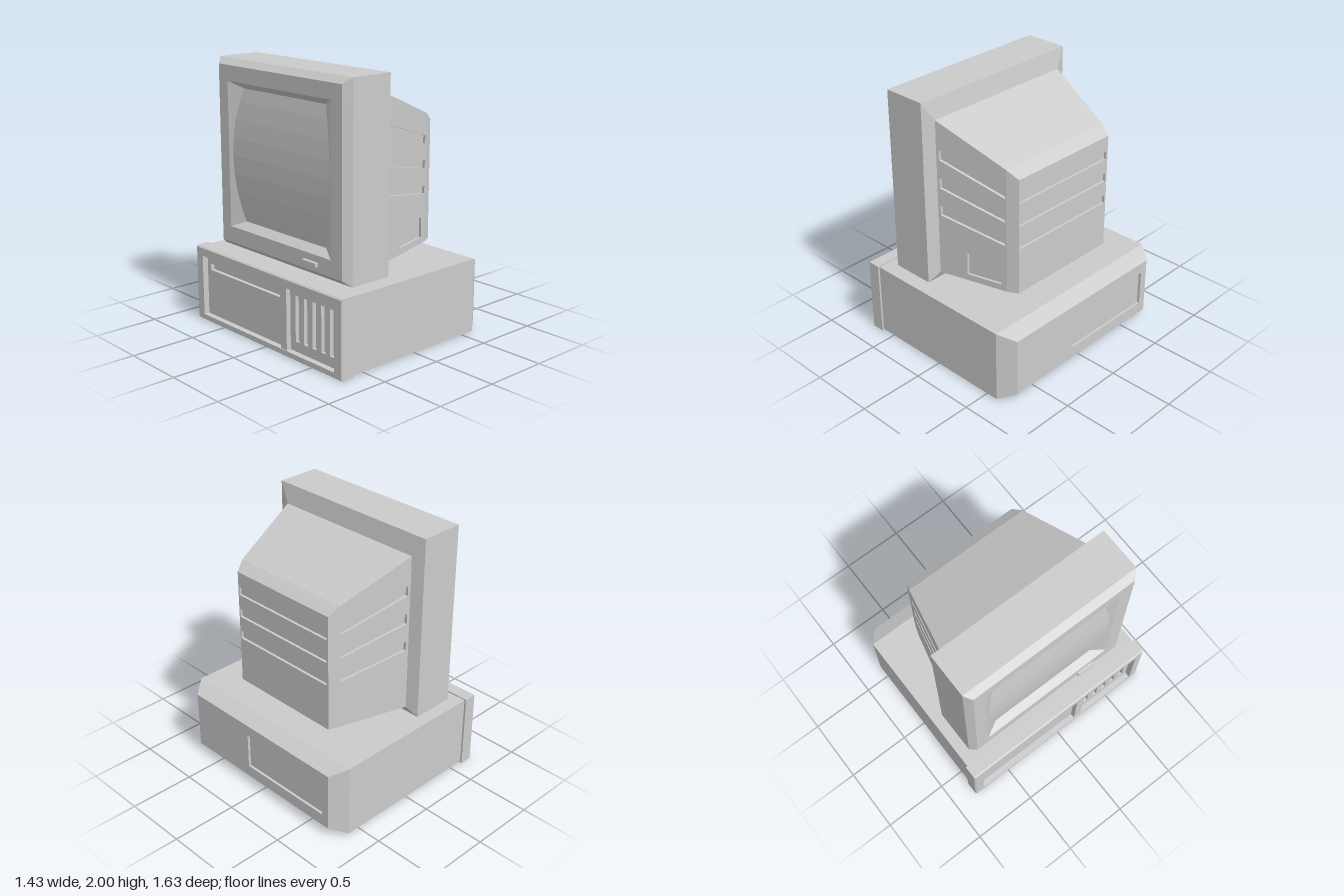
import * as THREE from 'three';

const material = new THREE.MeshStandardMaterial({ color: 0xcccccc, flatShading: true });

function meshFrom(name, triangles) {
  const geometry = new THREE.BufferGeometry().setFromPoints(triangles);
  geometry.computeVertexNormals();
  const mesh = new THREE.Mesh(geometry, material);
  mesh.name = name;
  return mesh;
}

const quad = (out, a, b, c, d) => out.push(a, b, c, a, c, d);

// Counter-clockwise rectangle in a panel's own plane
const rect = (u0, u1, v0, v1) => [[u0, v0], [u1, v0], [u1, v1], [u0, v1]];

// Skin over rectangular sections [x, y0, y1, z0, z1]; sides: 0 bottom, 1 +z, 2 top, 3 -z
function loft(name, sections, { sides = [0, 1, 2, 3], startCap = false, endCap = false } = {}) {
  const rings = sections.map(([x, y0, y1, z0, z1]) =>
    [[y0, z0], [y0, z1], [y1, z1], [y1, z0]].map(([y, z]) => new THREE.Vector3(x, y, z)));
  const out = [];
  for (let s = 0; s < rings.length - 1; s++) {
    const p = rings[s], q = rings[s + 1];
    for (const i of sides) {
      const j = (i + 1) % 4;
      quad(out, p[i], q[i], q[j], p[j]);
    }
  }
  if (startCap) quad(out, ...rings[0]);
  if (endCap) quad(out, ...[...rings[rings.length - 1]].reverse());
  return meshFrom(name, out);
}

// Flat panel with sunken pockets; map(u, v, d) places a point, d pointing outward
function panel(name, outline, holes, map, depth = 0.02, floor = true) {
  const points = (list) => list.map(([u, v]) => new THREE.Vector2(u, v));
  const shape = new THREE.Shape(points(outline));
  shape.holes = holes.map((h) => new THREE.Path(points(h)));
  const flat = new THREE.ShapeGeometry(shape).toNonIndexed().attributes.position;
  const at = (u, v, d) => new THREE.Vector3(...map(u, v, d));
  const out = [];
  for (let i = 0; i < flat.count; i++) out.push(at(flat.getX(i), flat.getY(i), 0));
  if (depth > 0) for (const h of holes) {
    const top = h.map(([u, v]) => at(u, v, 0)), low = h.map(([u, v]) => at(u, v, -depth));
    for (let i = 0; i < 4; i++) {
      const j = (i + 1) % 4;
      quad(out, top[i], top[j], low[j], low[i]);
    }
    if (floor) quad(out, ...low);
  }
  // Reverse the corners where the mapping mirrors the plane
  const o = at(0, 0, 0);
  const [eu, ev, ed] = [at(1, 0, 0), at(0, 1, 0), at(0, 0, 1)].map((p) => p.sub(o));
  if (eu.cross(ev).dot(ed) < 0) out.reverse();
  return meshFrom(name, out);
}

function box(name, x0, x1, y0, y1, z0, z1) {
  const mesh = new THREE.Mesh(new THREE.BoxGeometry(x1 - x0, y1 - y0, z1 - z0), material);
  mesh.position.set((x0 + x1) / 2, (y0 + y1) / 2, (z0 + z1) / 2);
  mesh.name = name;
  return mesh;
}

// Planes facing -x and +x, drawn in (z, y)
const facingMinusX = (x) => (z, y, d) => [x - d, y, z];
const facingPlusX = (x) => (z, y, d) => [x + d, y, z];

function createCase() {
  const group = new THREE.Group();
  group.name = 'computerCase';

  group.add(loft('caseBody', [
    [-0.62, 0.01, 0.57, -0.805, 0.8],
    [0.60, 0.01, 0.57, -0.805, 0.8],
    [0.715, 0.065, 0.515, -0.715, 0.71],
  ], { startCap: true }));
  group.add(panel('caseRear', rect(-0.715, 0.71, 0.065, 0.515),
    [rect(-0.655, 0.13, 0.155, 0.43)], facingPlusX(0.715)));

  // Front frame around one wide recess
  group.add(loft('caseFrontFrame', [
    [-0.718, 0.01, 0.57, -0.81, 0.805],
    [-0.707, 0, 0.58, -0.82, 0.815],
    [-0.61, 0, 0.58, -0.82, 0.815],
  ], { endCap: true }));
  group.add(panel('caseFrontFace', rect(-0.81, 0.805, 0.01, 0.57),
    [rect(-0.74, 0.74, 0.045, 0.51)], facingMinusX(-0.718), 0.045, false));

  // Recessed face with the drive slot and five upright vents
  const slots = [rect(-0.70, 0.14, 0.40, 0.45)];
  for (let i = 0; i < 5; i++) {
    const z = 0.29 + i * 0.09;
    slots.push(rect(z, z + 0.04, 0.12, 0.46));
  }
  group.add(panel('driveAndVentFace', rect(-0.74, 0.74, 0.045, 0.51), slots,
    facingMinusX(-0.673), 0.03));
  group.add(box('frontDivider', -0.71, -0.67, 0.045, 0.51, 0.17, 0.235));
  return group;
}

function createMonitor() {
  const group = new THREE.Group();
  group.name = 'monitor';

  // Bezel with bevelled front and steep shoulder behind
  group.add(loft('monitorBezel', [
    [-0.567, 0.63, 1.955, -0.675, 0.65],
    [-0.515, 0.585, 2.0, -0.72, 0.70],
    [-0.18, 0.585, 2.0, -0.72, 0.70],
    [-0.15, 0.645, 1.855, -0.63, 0.605],
  ]));
  group.add(panel('bezelFace', rect(-0.675, 0.65, 0.63, 1.955),
    [rect(-0.575, 0.54, 0.75, 1.84)], facingMinusX(-0.567), 0));
  group.add(loft('screenSurround', [
    [-0.487, 0.815, 1.775, -0.42, 0.385],
    [-0.567, 0.75, 1.84, -0.575, 0.54],
  ]));

  // Glass bulging forward about the horizontal axis
  const glass = new THREE.PlaneGeometry(1.09, 1.07, 1, 8).rotateY(-Math.PI / 2);
  const p = glass.attributes.position;
  for (let i = 0; i < p.count; i++) p.setX(i, 0.052 * (p.getY(i) / 0.535) ** 2);
  glass.computeVertexNormals();
  const screen = new THREE.Mesh(glass, material);
  screen.position.set(-0.553, 1.295, -0.0175);
  screen.name = 'screen';
  group.add(screen);
  group.add(box('powerButton', -0.595, -0.56, 0.673, 0.70, 0.265, 0.41));

  // Tapering rear housing
  const front = [-0.15, 0.645, 1.855, -0.63, 0.605];
  const bend = [0.40, 0.669, 1.63, -0.50, 0.485];
  const rear = [0.48, 0.672, 1.57, -0.475, 0.447];
  group.add(loft('housingTopAndBottom', [front, bend], { sides: [0, 2] }));
  group.add(loft('housingRearBevel', [bend, rear]));

  // Both sides carry three slanted vents; the +z side also has a control recess
  const vents = [[1.56, 1.635, 1.41, 1.47], [1.34, 1.42, 1.225, 1.285], [1.125, 1.20, 1.04, 1.095]]
    .map(([a0, a1, b0, b1]) => [[-0.13, a0], [0.388, b0], [0.388, b1], [-0.13, a1]]);
  const control = [[0.08, 0.705], [0.355, 0.715], [0.355, 0.865], [0.08, 0.882]];
  const outline = [[-0.15, 0.645], [0.40, 0.669], [0.40, 1.63], [-0.15, 1.855]];
  for (const [name, side, k, holes] of [
    ['housingSideWithControls', 1, 4, [...vents, control]],
    ['housingSide', -1, 3, vents],
  ]) {
    const slope = (bend[k] - front[k]) / 0.55;
    group.add(panel(name, outline, holes,
      (x, y, d) => [x, y, front[k] + slope * (x + 0.15) + side * d]));
  }
  const rearVents = [1.03, 1.21, 1.388].map((y) => rect(-0.46, 0.437, y, y + 0.064));
  group.add(panel('housingRear', rect(-0.475, 0.447, 0.672, 1.57), rearVents, facingPlusX(0.48)));
  return group;
}

export function createModel() {
  const model = new THREE.Group();
  model.name = 'desktopComputer';
  model.add(createCase(), createMonitor());
  return model;
}
